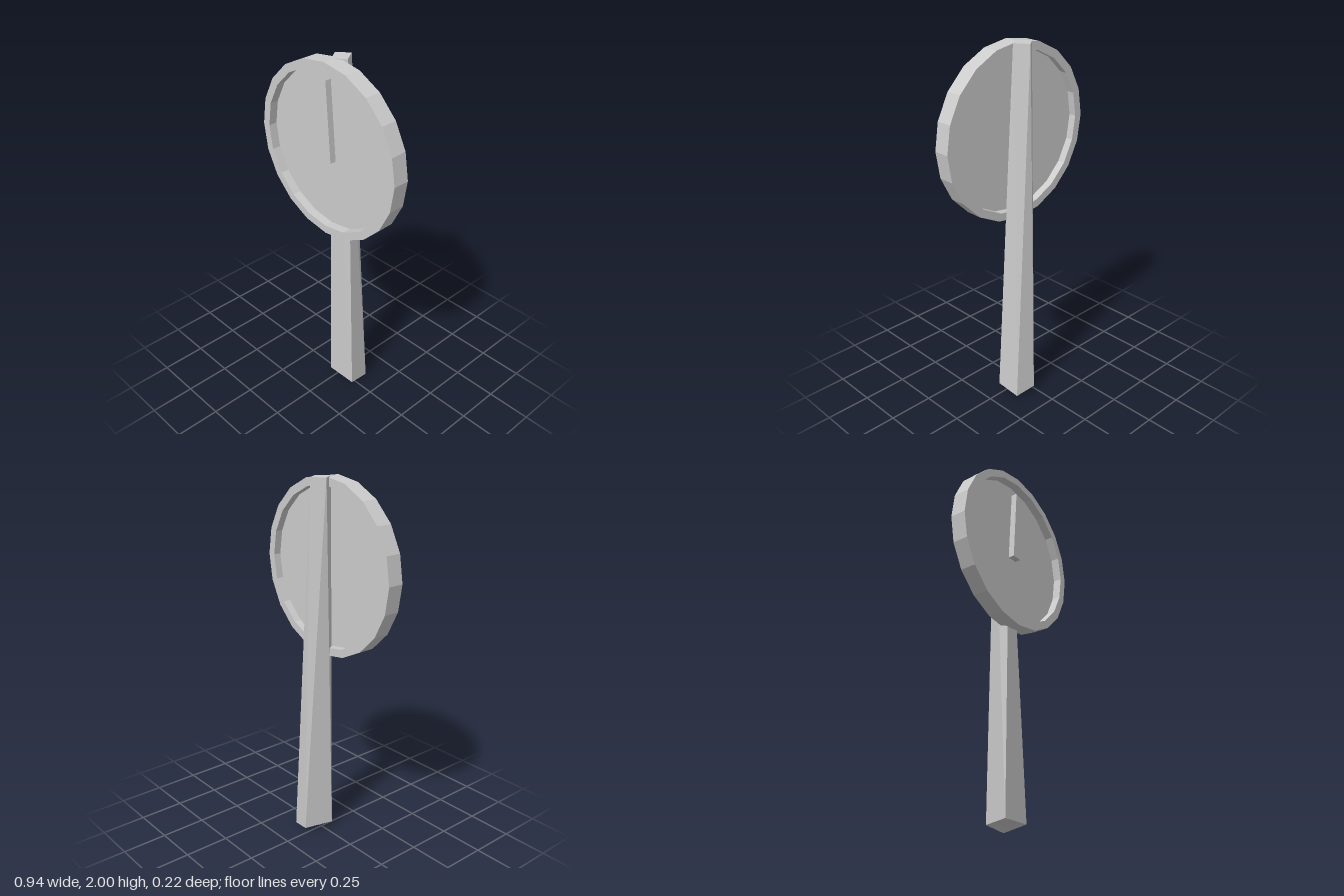
import * as THREE from 'three';

const material = new THREE.MeshStandardMaterial({
  color: 0xcccccc, flatShading: true, side: THREE.DoubleSide,
});
const SIDES = 20;

// Corner points of a regular polygon
const ring = (r) => Array.from({ length: SIDES }, (_, i) => {
  const a = (i / SIDES) * Math.PI * 2;
  return new THREE.Vector2(Math.cos(a) * r, Math.sin(a) * r);
});

function part(name, geometry, parent, y = 0, z = 0) {
  const mesh = new THREE.Mesh(geometry, material);
  mesh.name = name;
  mesh.position.set(0, y, z);
  parent.add(mesh);
}

// Crooked four-sided post: each side is split from its lower corner
// to the next upper corner, which gives it a twist
function postGeometry() {
  const bottom = [[-0.04, 0.03, 0.045], [0.14, 0.03, 0.042], [0.124, 0, -0.089], [0.01, 0.025, -0.112]];
  const top = [[-0.008, 2, 0.055], [0.053, 2, 0.005], [0.005, 2, -0.067], [-0.056, 2, -0.015]];
  const index = [];
  for (let i = 0; i < 4; i++) {
    const j = (i + 1) % 4;
    index.push(i, j, 4 + i, j, 4 + j, 4 + i);
  }
  index.push(4, 5, 6, 4, 6, 7); // top cap
  index.push(0, 3, 1, 1, 3, 2); // folded bottom
  const g = new THREE.BufferGeometry();
  g.setAttribute('position', new THREE.Float32BufferAttribute([...bottom, ...top].flat(), 3));
  g.setIndex(index);
  const flat = g.toNonIndexed();
  flat.computeVertexNormals();
  return flat;
}

export function createModel() {
  const model = new THREE.Group();
  model.name = 'postDial';

  part('post', postGeometry(), model);

  const dial = new THREE.Group();
  dial.name = 'dial';
  dial.position.y = 1.528;
  model.add(dial);

  // Open rim, recessed on both sides of the face
  const rim = new THREE.Shape(ring(0.472));
  rim.holes.push(new THREE.Path(ring(0.428).reverse()));
  part('rim', new THREE.ExtrudeGeometry(rim, { depth: 0.09, bevelEnabled: false }), dial, 0, 0.02);

  // Thin face set inside the rim
  part('face', new THREE.CircleGeometry(0.43, SIDES), dial, 0, 0.062);

  // Pointed hand
  const hand = new THREE.Shape([[-0.031, -0.053], [0.031, -0.053], [0, 0.377]]
    .map(([x, y]) => new THREE.Vector2(x, y)));
  part('hand', new THREE.ExtrudeGeometry(hand, { depth: 0.035, bevelEnabled: false }), dial, 0, 0.065);

  return model;
}
